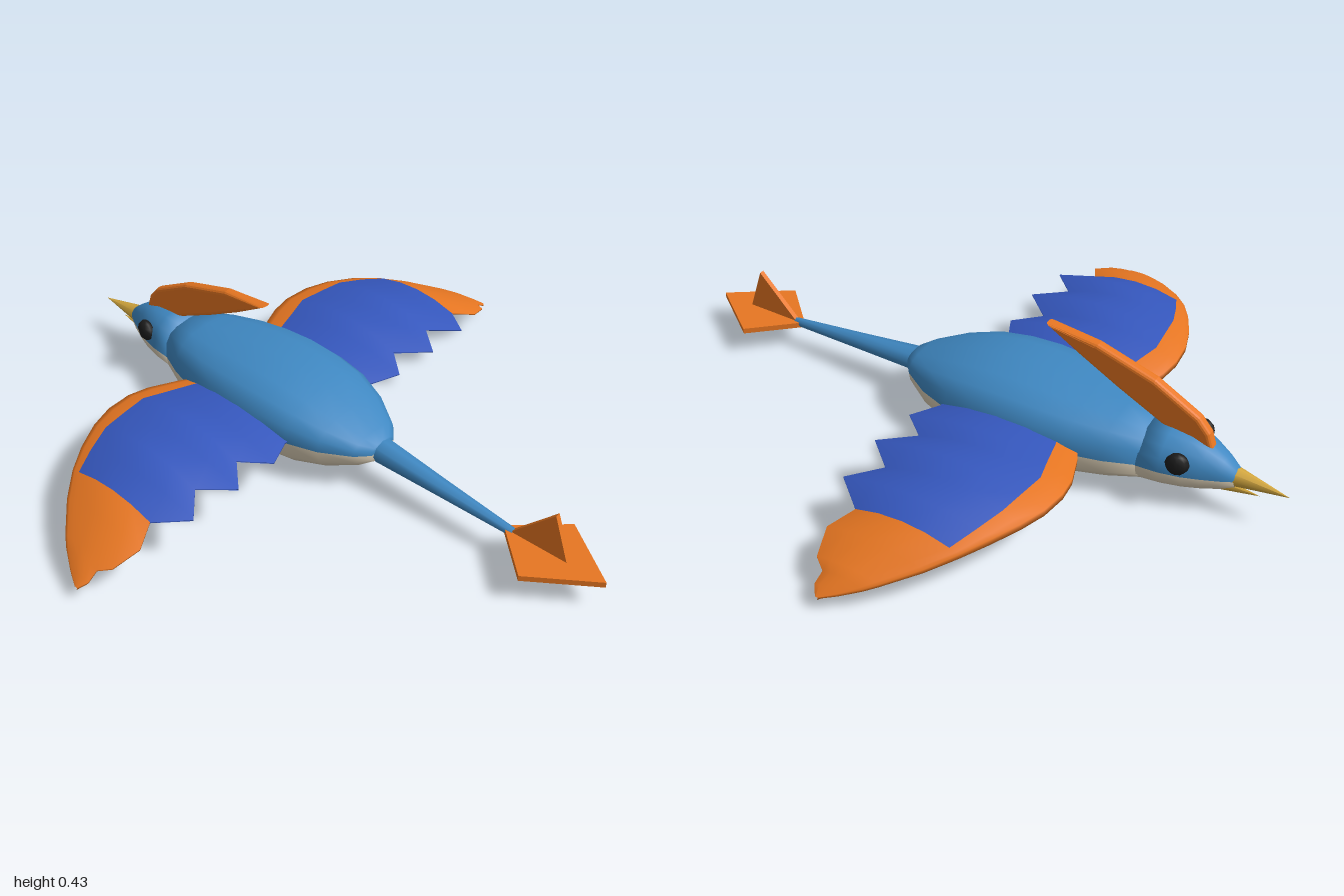
import * as THREE from 'three';

const material = (name, color) => {
  const m = new THREE.MeshStandardMaterial({ color });
  m.name = name;
  return m;
};

// Closed skin over a row of equal-sized rings; pick(i, j) gives the material index of each quad.
function skin(rings, pick = () => 0, flip = false) {
  const n = rings[0].length, buckets = [];
  for (let i = 0; i < rings.length - 1; i++) {
    for (let j = 0; j < n; j++) {
      const k = (j + 1) % n;
      const a = i * n + j, b = i * n + k, c = (i + 1) * n + k, d = (i + 1) * n + j;
      const list = (buckets[pick(i, j)] ??= []);
      list.push(...(flip ? [a, b, d, b, c, d] : [a, d, b, b, d, c]));
    }
  }
  const g = new THREE.BufferGeometry();
  g.setAttribute('position', new THREE.Float32BufferAttribute(rings.flat(2), 3));
  const index = [];
  buckets.forEach((list, m) => {
    g.addGroup(index.length, list.length, m);
    for (const v of list) index.push(v);
  });
  g.setIndex(index);
  g.computeVertexNormals();
  return g;
}

// Boxy oval rings from sections [z, half width, top, bottom, middle]; "middle" is the widest height.
function ovalRings(sections, sides, power) {
  const bulge = (v) => Math.sign(v) * Math.abs(v) ** power;
  return sections.map(([z, w, top, bottom, middle]) =>
    Array.from({ length: sides }, (_, j) => {
      const a = (j / sides) * Math.PI * 2, s = bulge(Math.sin(a));
      return [w * bulge(Math.cos(a)), middle + s * (s > 0 ? top - middle : middle - bottom), z];
    }));
}

export function createModel() {
  const blue = material('body blue', 0x3f88c2);
  const wingBlue = material('wing blue', 0x3557bd);
  const orange = material('orange', 0xe87722);
  const cream = material('cream', 0xdccfb6);
  const gold = material('beak gold', 0xd6a93e);
  const black = material('eye black', 0x1c1c1c);

  const bird = new THREE.Group();
  bird.name = 'bird';
  const add = (name, geometry, mat, x = 0, y = 0, z = 0) => {
    const mesh = new THREE.Mesh(geometry, mat);
    mesh.name = name;
    mesh.position.set(x, y, z);
    bird.add(mesh);
    return mesh;
  };

  // Body and head: blue above, cream below
  const SIDES = 16;
  const twoTone = (i, j) => (j < SIDES / 2 ? 0 : 1);
  const bodySections = [
    [0.225, 0, 0.137, 0.133, 0.135], [0.225, 0.05, 0.163, 0.1, 0.136], [0.19, 0.092, 0.18, 0.08, 0.139],
    [0.1, 0.15, 0.218, 0.047, 0.143], [0, 0.186, 0.25, 0.022, 0.146], [-0.1, 0.2, 0.267, 0.012, 0.147],
    [-0.2, 0.204, 0.273, 0.01, 0.147], [-0.3, 0.198, 0.269, 0.014, 0.146], [-0.4, 0.181, 0.26, 0.024, 0.144],
    [-0.5, 0.15, 0.247, 0.038, 0.14], [-0.59, 0.109, 0.23, 0.055, 0.136], [-0.63, 0, 0.137, 0.133, 0.135],
  ];
  add('body', skin(ovalRings(bodySections, SIDES, 0.78), twoTone), [blue, cream]);
  const headSections = [
    [-0.575, 0, 0.137, 0.133, 0.135], [-0.585, 0.112, 0.235, 0.05, 0.135], [-0.65, 0.105, 0.236, 0.055, 0.134],
    [-0.71, 0.09, 0.23, 0.062, 0.133], [-0.76, 0.07, 0.213, 0.07, 0.132], [-0.81, 0.047, 0.185, 0.082, 0.131],
    [-0.845, 0.027, 0.158, 0.098, 0.13], [-0.85, 0, 0.132, 0.128, 0.13],
  ];
  add('head', skin(ovalRings(headSections, SIDES, 0.9), twoTone), [blue, cream]);

  // Beak halves
  const beak = (name, radius, length, y, z, tilt) => {
    const g = new THREE.ConeGeometry(radius, length, 8);
    g.rotateX(-Math.PI / 2 + tilt);
    add(name, g, gold, 0, y, z);
  };
  beak('upperBeak', 0.032, 0.175, 0.128, -0.9125, -0.04);
  beak('lowerBeak', 0.023, 0.16, 0.088, -0.837, 0.05);

  // Eyes and tucked feet
  for (const side of [1, -1]) {
    const name = side > 0 ? 'left' : 'right';
    const eye = add(name + 'Eye', new THREE.SphereGeometry(0.035, 8, 6), black, side * 0.09, 0.176, -0.7);
    eye.scale.x = 0.68;
    eye.rotation.y = side * 0.25;
    const foot = add(name + 'Foot', new THREE.SphereGeometry(0.022, 8, 6), cream, side * 0.083, 0.023, -0.015);
    foot.scale.y = 0.75;
  }

  // Upright plate cut from a (z, y) outline, centred on x = 0
  const plate = (points, depth, bevel) => {
    const shape = new THREE.Shape(points.map(([z, y]) => new THREE.Vector2(-z, y)));
    const g = new THREE.ExtrudeGeometry(shape, {
      depth: depth - 2 * bevel, bevelEnabled: bevel > 0, bevelThickness: bevel,
      bevelSize: bevel, bevelOffset: -bevel, bevelSegments: 3,
    });
    g.translate(0, 0, bevel - depth / 2);
    g.rotateY(Math.PI / 2);
    return g;
  };
  add('crest', plate([
    [-0.235, 0.432], [-0.35, 0.362], [-0.47, 0.298], [-0.62, 0.225], [-0.7, 0.2], [-0.77, 0.205],
    [-0.755, 0.25], [-0.72, 0.29], [-0.58, 0.365], [-0.4, 0.418],
  ], 0.037, 0.012), orange);

  // Tail: thin boom, flat diamond and upright fin
  const tailSections = [
    [0.7, 0, 0.095, 0.091, 0.093], [0.7, 0.013, 0.106, 0.08, 0.093],
    [0.45, 0.028, 0.135, 0.086, 0.11], [0.18, 0.046, 0.168, 0.092, 0.13],
  ];
  add('tail', skin(ovalRings(tailSections, 8, 1)), blue);
  add('tailFin', plate([[0.88, 0.095], [0.69, 0.095], [0.828, 0.24]], 0.016, 0), orange);
  const diamond = new THREE.Shape([[0, 0.665], [0.135, 0.81], [0, 1], [-0.135, 0.81]]
    .map(([x, z]) => new THREE.Vector2(x, z)));
  const diamondGeometry = new THREE.ExtrudeGeometry(diamond, { depth: 0.018, bevelEnabled: false });
  diamondGeometry.rotateX(Math.PI / 2);
  add('tailDiamond', diamondGeometry, orange, 0, 0.1, 0);

  // Wing stations: x, leading z, colour band z, trailing z, edge height, camber
  const stations = [
    [0.12, -0.41, -0.35, 0.01, 0.149, 0.038], [0.19, -0.445, -0.375, 0.01, 0.154, 0.042],
    [0.285, -0.48, -0.4, 0.055, 0.163, 0.046], [0.355, -0.49, -0.42, -0.026, 0.169, 0.048],
    [0.44, -0.482, -0.41, 0.066, 0.172, 0.048], [0.52, -0.456, -0.4, -0.026, 0.171, 0.046],
    [0.605, -0.414, -0.37, 0.055, 0.163, 0.04], [0.68, -0.367, -0.338, -0.04, 0.148, 0.03],
    [0.755, -0.306, -0.27, 0, 0.125, 0.022], [0.835, -0.222, -0.19, -0.025, 0.095, 0.013],
    [0.86, -0.19, -0.165, -0.062, 0.083, 0.01], [0.895, -0.135, -0.125, -0.06, 0.064, 0.005],
    [0.92, -0.088, -0.087, -0.08, 0.05, 0],
  ];
  const M = 6, TIP = 7; // chord segments, first all-orange station
  const wingRings = (side) => stations.map(([x, lead, band, trail, edge, camber]) => {
    const chord = [0, 0.25, 0.5, 0.75, 1].map((t) => trail + (band - trail) * t);
    chord.push((band + lead * 2) / 3, lead);
    const point = (z, bottom) => {
      const u = (z - lead) / (trail - lead), arch = 4 * u * (1 - u);
      // the leading edge is a blunt, drooping nose
      const nose = 0.35 * camber * Math.max(0, 1 - u / 0.12);
      return [side * x, edge + camber * arch - (bottom ? 0.004 + 0.008 * arch + nose : 0), z];
    };
    return [...chord.map((z) => point(z, false)), ...chord.reverse().map((z) => point(z, true))];
  });
  const wingColour = (i, j) => {
    if (i >= TIP || (j >= M - 2 && j <= M + 1)) return 0;
    return j < M || j > 2 * M ? 1 : 2;
  };
  for (const side of [1, -1]) {
    add(side > 0 ? 'leftWing' : 'rightWing', skin(wingRings(side), wingColour, side < 0), [orange, wingBlue, cream]);
  }

  return bird;
}
